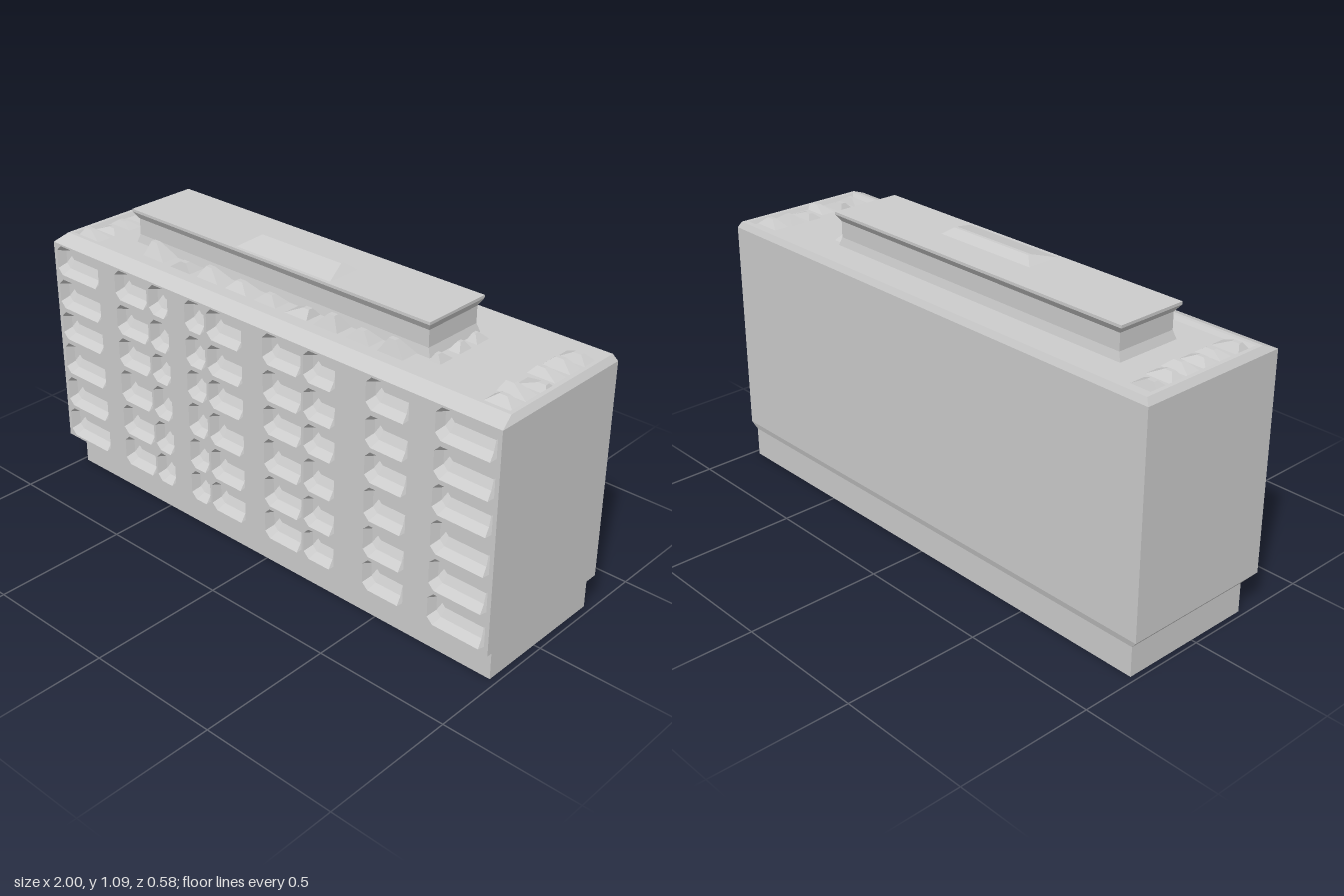
import * as THREE from 'three';

const grey = new THREE.MeshStandardMaterial({ color: 0xcccccc, flatShading: true });

// Flat-shaded surface through rings of points; skip(level, edge) leaves a face open
function loft(rings, { bottom = false, top = true, skip = () => false } = {}) {
  const out = [];
  const tri = (...p) => p.forEach((q) => out.push(...q));
  for (let k = 0; k < rings.length - 1; k++) {
    const lo = rings[k], hi = rings[k + 1], n = lo.length;
    for (let i = 0; i < n; i++) {
      if (skip(k, i)) continue;
      const j = (i + 1) % n;
      tri(lo[i], lo[j], hi[j]);
      tri(lo[i], hi[j], hi[i]);
    }
  }
  const first = rings[0], last = rings[rings.length - 1];
  for (let i = 1; i < last.length - 1; i++) {
    if (top) tri(last[0], last[i], last[i + 1]);
    if (bottom) tri(first[0], first[i + 1], first[i]);
  }
  const g = new THREE.BufferGeometry();
  g.setAttribute('position', new THREE.Float32BufferAttribute(out, 3));
  g.computeVertexNormals();
  return g;
}

// Horizontal rectangle at height y
const rect = (y, x0, x1, z0, z1) => [[x0, y, z1], [x1, y, z1], [x1, y, z0], [x0, y, z0]];

// Upright rectangle with cut corners at depth z
function octagon(x0, x1, y0, y1, c, z) {
  return [
    [x0 + c, y0, z], [x1 - c, y0, z], [x1, y0 + c, z], [x1, y1 - c, z],
    [x1 - c, y1, z], [x0 + c, y1, z], [x0, y1 - c, z], [x0, y0 + c, z],
  ];
}

export function createModel() {
  const model = new THREE.Group();
  const add = (name, geometry, parent = model) => {
    const m = new THREE.Mesh(geometry, grey);
    m.name = name;
    parent.add(m);
    return m;
  };
  const group = (name) => {
    const g = new THREE.Group();
    g.name = name;
    model.add(g);
    return g;
  };

  // Main block: recessed plinth, walls, bevelled parapet and sunken roof
  add('buildingShell', loft([
    rect(0, -0.98, 0.975, -0.285, 0.235),
    rect(0.11, -0.98, 0.975, -0.285, 0.235),
    rect(0.135, -1, 1, -0.292, 0.292),
    rect(0.93, -1, 1, -0.292, 0.292),
    rect(0.953, -0.985, 0.985, -0.282, 0.235),
    rect(0.953, -0.97, 0.97, -0.262, 0.22),
    rect(0.94, -0.96, 0.96, -0.255, 0.21),
  ], { bottom: true, skip: (level, edge) => level === 2 && edge === 0 }));

  // Front wall pierced by window bays
  const columns = [
    [-0.985, -0.76], [-0.67, -0.505], [-0.495, -0.4], [-0.315, -0.22], [-0.21, -0.045],
    [0.05, 0.22], [0.23, 0.365], [0.49, 0.66], [0.76, 0.985],
  ];
  const rows = [[0.143, 0.26], [0.273, 0.393], [0.41, 0.535], [0.552, 0.662], [0.678, 0.792], [0.81, 0.923]];
  const front = 0.292;
  const wall = new THREE.Shape([
    [-1, 0.135], [1, 0.135], [1, 0.93], [-1, 0.93],
  ].map((p) => new THREE.Vector2(...p)));
  const windows = group('windows');
  for (const [x0, x1] of columns) {
    for (const [y0, y1] of rows) {
      const rim = octagon(x0, x1, y0, y1, 0.022, front);
      wall.holes.push(new THREE.Path(rim.map(([x, y]) => new THREE.Vector2(x, y))));
      // Scooped recess with a sill sloping up to the back
      add('windowRecess', loft([
        rim,
        octagon(x0 + 0.014, x1 - 0.014, y0 + 0.02, y1 - 0.01, 0.018, front - 0.03),
        octagon(x0 + 0.025, x1 - 0.025, y0 + 0.05, y1 - 0.018, 0.012, front - 0.045),
      ]), windows);
    }
  }
  add('frontWall', new THREE.ShapeGeometry(wall)).position.z = front;

  // Rooftop plant room with flared cap, and a ridged hatch on it
  add('plantRoom', loft([
    rect(0.93, -0.765, 0.585, -0.152, 0.105),
    rect(0.97, -0.75, 0.57, -0.142, 0.095),
    rect(1.03, -0.75, 0.57, -0.142, 0.095),
    rect(1.055, -0.77, 0.583, -0.16, 0.11),
    rect(1.065, -0.77, 0.583, -0.16, 0.11),
  ]));
  add('roofHatch', loft([
    rect(1.064, -0.26, 0.165, -0.035, 0.1),
    rect(1.09, -0.225, 0.13, -0.006, 0.006),
  ]));

  // Jagged lumps along the roof ends and in front of the plant room
  let seed = 7;
  const rand = () => (seed = (seed * 16807) % 2147483647) / 2147483647;
  const lumps = group('roofLumps');
  const lump = (x, z, w, d, h) => {
    const px = x + (rand() - 0.5) * w * 0.6, pz = z + (rand() - 0.5) * d * 0.6;
    add('roofLump', loft([
      rect(0.935, x - w / 2, x + w / 2, z - d / 2, z + d / 2),
      rect(0.945 + h, px - w * 0.12, px + w * 0.12, pz - d * 0.12, pz + d * 0.12),
    ]), lumps);
  };
  for (const side of [-1, 1]) {
    for (let i = 0; i < 6; i++) {
      lump(side * (0.925 - rand() * 0.02), -0.2 + i * 0.075, 0.12, 0.065, 0.012 + rand() * 0.012);
    }
  }
  for (let i = 0; i < 9; i++) {
    lump(-0.6 + i * 0.135, 0.135, 0.11, 0.075, 0.015 + rand() * 0.03);
  }
  for (let i = 0; i < 3; i++) lump(0.61, -0.1 + i * 0.09, 0.05, 0.07, 0.02);

  return model;
}
